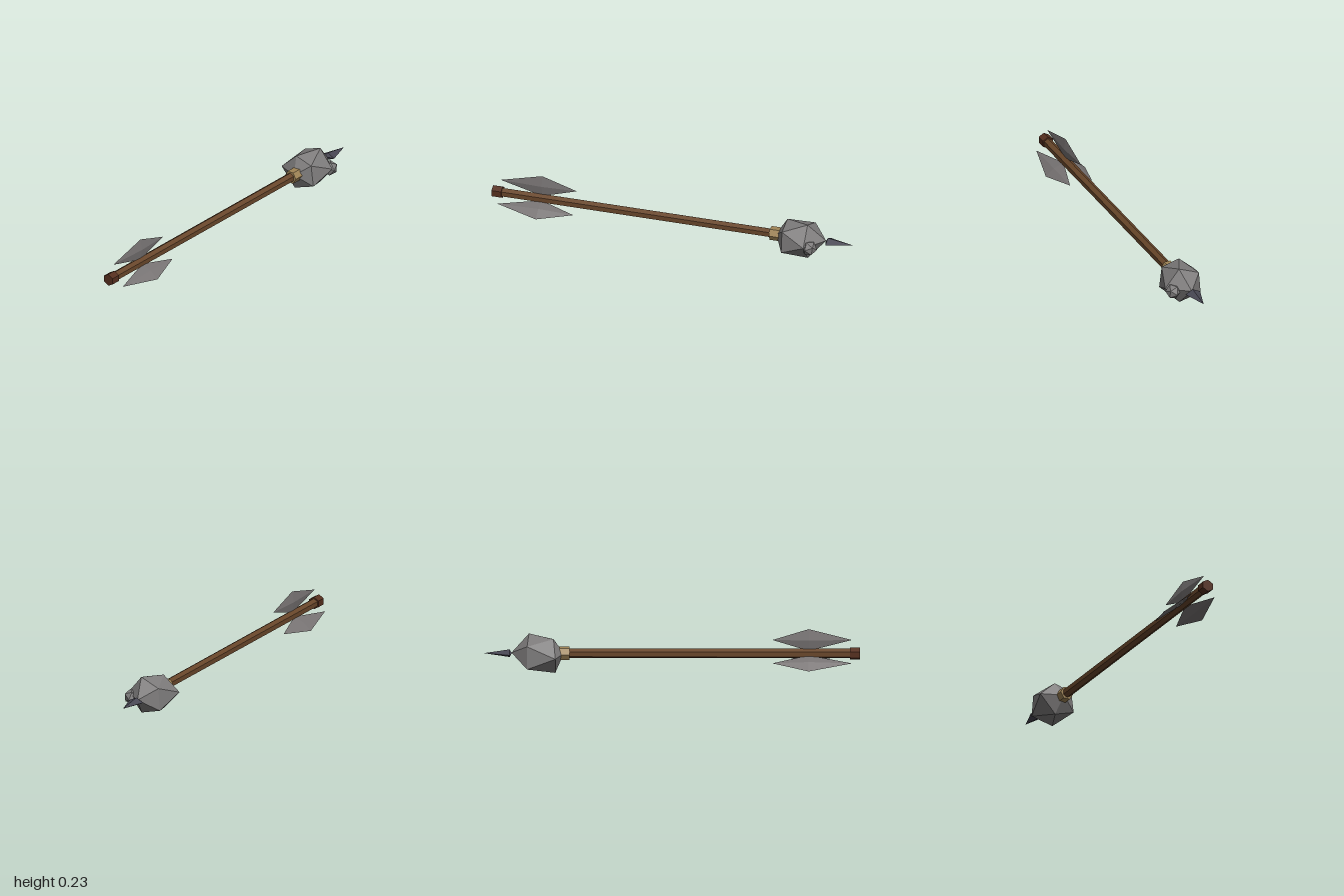
import * as THREE from 'three';

const paint = (name, color, flatShading = true) => {
  const m = new THREE.MeshStandardMaterial({ color, flatShading });
  m.name = name;
  return m;
};

// Hexagonal rod lying along z, between z0 and z1
function hexRod(radius, z0, z1, turn = 0) {
  return new THREE.CylinderGeometry(radius, radius, z1 - z0, 6)
    .rotateX(Math.PI / 2).rotateZ(turn).translate(0, 0, (z0 + z1) / 2);
}

// Eight-sided gem whose +z and -z halves have their own lengths
function gem(rx, ry, front, back) {
  const g = new THREE.OctahedronGeometry(1, 0);
  const p = g.attributes.position;
  for (let i = 0; i < p.count; i++) {
    const z = p.getZ(i);
    p.setXYZ(i, p.getX(i) * rx, p.getY(i) * ry, z * (z > 0 ? front : back));
  }
  g.computeVertexNormals();
  return g;
}

// Twenty-faced boulder: two staggered rings of five between two poles
function boulder() {
  const near = [[0.073, 0.057, -0.63], [-0.028, 0.085, -0.63], [-0.12, 0, -0.62],
    [-0.03, -0.1, -0.62], [0.088, -0.06, -0.63]];
  const far = [[0.032, 0.1, -0.76], [-0.08, 0.058, -0.77], [-0.09, -0.065, -0.77],
    [0.03, -0.1, -0.76], [0.113, 0, -0.76]];
  const points = [...near, ...far, [0, 0, -0.575], [0, 0.003, -0.853]];
  const index = [];
  for (let i = 0; i < 5; i++) {
    const j = (i + 1) % 5;
    index.push(10, i, j, i, 5 + i, j, 5 + i, 5 + j, j, 11, 5 + j, 5 + i);
  }
  const g = new THREE.BufferGeometry();
  g.setAttribute('position', new THREE.Float32BufferAttribute(points.flat(), 3));
  g.setIndex(index);
  g.computeVertexNormals();
  return g;
}

export function createModel() {
  const model = new THREE.Group();
  model.name = 'stoneHeadedArrow';
  const arrow = new THREE.Group();
  arrow.name = 'arrow';
  arrow.position.y = 0.1;
  model.add(arrow);

  const wood = paint('wood', 0x68462a);
  const darkWood = paint('dark wood', 0x552f1e);
  const binding = paint('tan binding', 0x9f8456);
  const stone = paint('grey stone', 0x7d7b7b);
  const feather = paint('grey feather', 0x777373);
  const steel = paint('dark steel', 0x474652);

  const add = (name, geometry, material) => {
    const mesh = new THREE.Mesh(geometry, material);
    mesh.name = name;
    arrow.add(mesh);
    return mesh;
  };

  // Shaft, nock and binding
  add('shaft', hexRod(0.026, -0.62, 0.96), wood);
  add('nock', hexRod(0.034, 0.947, 1), darkWood);
  add('binding', hexRod(0.037, -0.6, -0.545, Math.PI / 6), binding);

  // Stone head with a small lump on its left side
  add('stoneHead', boulder(), stone);
  const lump = add('stoneLump', new THREE.IcosahedronGeometry(0.042, 0), stone);
  lump.position.set(0.078, -0.012, -0.783);
  lump.rotation.set(0.4, 0.3, 0.2);

  // Flattened point
  add('point', gem(0.043, 0.021, 0.012, 0.137).translate(0, 0, -0.863), steel);

  // Three feathers around the shaft
  for (let i = 0; i < 3; i++) {
    const vane = gem(0.01, 0.06, 0.23, 0.193).translate(0, 0.074, 0.727);
    add('feather' + (i + 1), vane, feather).rotation.z = (i * Math.PI * 2) / 3;
  }
  return model;
}
